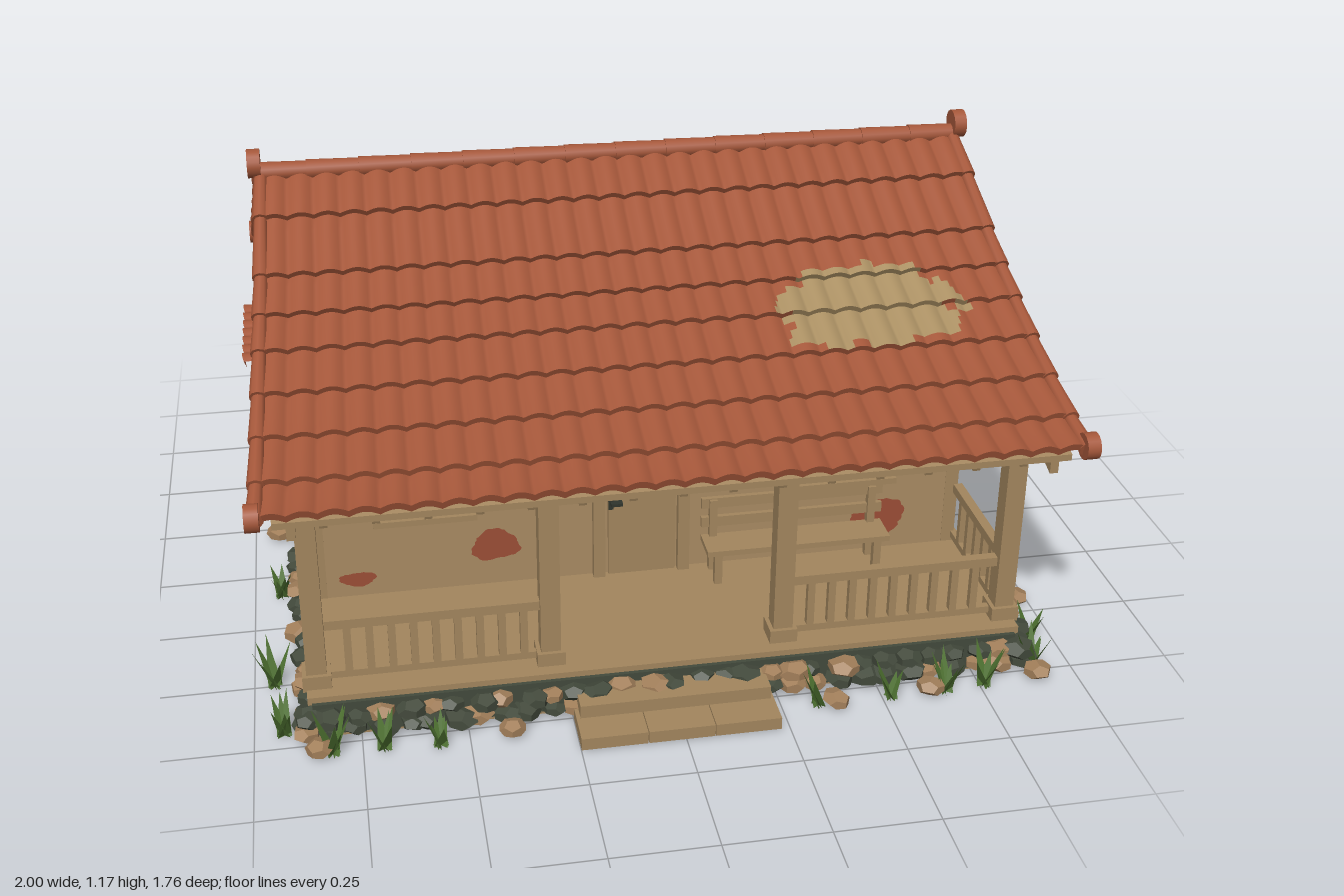
import * as THREE from 'three';

const mat = (name, color, side = THREE.FrontSide) => {
  const m = new THREE.MeshStandardMaterial({ color, side });
  m.name = name;
  return m;
};

export function createModel() {
  const root = new THREE.Group();
  root.name = 'cottage';
  const D = THREE.DoubleSide;
  const M = {
    wall: mat('plaster', 0xa98b63), timber: mat('timber', 0xa3865e),
    tile: mat('roofTile', 0xa5573a, D), brick: mat('exposedBrick', 0x9c4e36),
    batten: mat('exposedBatten', 0xab9063, D), darkStone: mat('darkStone', 0x434a3c),
    tanStone: mat('tanStone', 0xa27f5a), grass: mat('grass', 0x4d7030, D),
    shutter: mat('shutter', 0x8a7350), dark: mat('darkMetal', 0x30352d),
  };
  let seed = 7;
  const rnd = () => (seed = (seed * 16807) % 2147483647) / 2147483647;
  const add = (name, geo, material, parent = root) => {
    const m = new THREE.Mesh(geo, material);
    m.name = name;
    parent.add(m);
    return m;
  };
  const group = (name, x = 0, y = 0, z = 0, ry = 0, parent = root) => {
    const g = new THREE.Group();
    g.name = name;
    g.position.set(x, y, z);
    g.rotation.y = ry;
    parent.add(g);
    return g;
  };
  // box from its min and max corners
  const box = (name, x0, x1, y0, y1, z0, z1, m = M.timber, parent = root) => {
    const b = add(name, new THREE.BoxGeometry(x1 - x0, y1 - y0, z1 - z0), m, parent);
    b.position.set((x0 + x1) / 2, (y0 + y1) / 2, (z0 + z1) / 2);
    return b;
  };
  // square bar between two points
  const bar = (name, a, b, w, m = M.timber, parent = root) => {
    const A = new THREE.Vector3(...a), B = new THREE.Vector3(...b);
    const mesh = add(name, new THREE.BoxGeometry(w, w, A.distanceTo(B)), m, parent);
    mesh.position.copy(A).add(B).multiplyScalar(0.5);
    mesh.quaternion.setFromUnitVectors(new THREE.Vector3(0, 0, 1), B.sub(A).normalize());
    return mesh;
  };

  // roof slopes as (distance out from ridge, height)
  const RIDGE = -0.11;
  const curve = pts => new THREE.SplineCurve(pts.map(p => new THREE.Vector2(...p)));
  const slopes = [
    { name: 'frontRoof', s: 1, rows: 8, c: curve([[0, 1.105], [0.28, 0.938], [0.47, 0.828], [0.7, 0.722], [0.92, 0.645]]) },
    { name: 'backRoof', s: -1, rows: 7, c: curve([[0, 1.105], [0.27, 0.938], [0.48, 0.8], [0.74, 0.648]]) },
  ];
  const halfWidth = t => 0.895 + 0.05 * t;

  // rows of rolled tiles lapping over each other down a curve
  const tiles = (name, c, rows, cols, width, amp, parent, mask = () => false) => {
    const pos = [], idx = [[], []], S = cols * 8, J = 5;
    for (let r = 0; r < rows; r++) {
      const base = pos.length / 3;
      for (let j = 0; j <= J + 2; j++) {
        const k = Math.min(j, J) / J, t = (r + k) / rows;
        const p = c.getPoint(t), tan = c.getTangent(t);
        const lift = j > J + 1 ? -0.004 : 0.016 * k;
        for (let i = 0; i <= S; i++) {
          const u = i / S, wave = amp * Math.abs(Math.sin(u * cols * Math.PI)) + lift;
          pos.push((u * 2 - 1) * width(t), p.y + tan.x * wave, p.x - tan.y * wave);
        }
      }
      for (let j = 0; j < J + 2; j++) {
        if (j === J) continue;
        for (let i = 0; i < S; i++) {
          const a = base + j * (S + 1) + i, b = a + S + 1;
          const list = idx[mask(pos[a * 3], pos[a * 3 + 2]) ? 1 : 0];
          list.push(a, b, a + 1, a + 1, b, b + 1);
        }
      }
    }
    const g = new THREE.BufferGeometry();
    g.setAttribute('position', new THREE.Float32BufferAttribute(pos, 3));
    g.setIndex([...idx[0], ...idx[1]]);
    g.addGroup(0, idx[0].length, 0);
    g.addGroup(idx[0].length, idx[1].length, 1);
    g.computeVertexNormals();
    return add(name, g, [M.tile, M.batten], parent);
  };
  // slab following a slope, at offsets below it
  const slab = (name, c, top, bottom, x0, x1, parent) => {
    const p = c.getPoints(20);
    const s = new THREE.Shape([...p.map(q => new THREE.Vector2(q.x, q.y - top)), ...p.reverse().map(q => new THREE.Vector2(q.x, q.y - bottom))]);
    const g = new THREE.ExtrudeGeometry(s, { depth: x1 - x0, bevelEnabled: false });
    g.rotateY(-Math.PI / 2).translate(x1, 0, 0);
    add(name, g, M.timber, parent);
  };
  const disc = (name, x, y, z, r, parent) => {
    const d = add(name, new THREE.CylinderGeometry(r, r, 0.032, 16).rotateZ(Math.PI / 2), M.tile, parent);
    d.position.set(x, y, z);
  };

  for (const { name, s, rows, c } of slopes) {
    const g = group(name, 0, 0, RIDGE, s > 0 ? 0 : Math.PI);
    const mid = s > 0 ? 0.47 : 0.31;
    tiles('tiles', c, rows, 28, halfWidth, 0.013, g, (x, out) => {
      const dx = (x * s - 0.54) / 0.235, dz = (out - mid) / 0.115;
      return dx * dx + dz * dz < 0.95 + 0.3 * Math.sin(x * 41) * Math.sin(out * 55 + x * 9);
    });
    slab('soffit', c, 0.004, 0.02, -0.91, 0.91, g);
    for (const sx of [-1, 1]) {
      slab('bargeBoard', c, 0.02, 0.05, sx * 0.87 - 0.01, sx * 0.87 + 0.01, g);
      // tapered verge tiles
      for (let r = 0; r < rows; r++) {
        const a = c.getPoint(r / rows), b = c.getPoint((r + 1) / rows);
        const A = new THREE.Vector3(sx * halfWidth(r / rows), a.y + 0.006, a.x);
        const B = new THREE.Vector3(sx * halfWidth((r + 1) / rows), b.y + 0.01, b.x);
        const v = add('vergeTile', new THREE.CylinderGeometry(0.021, 0.016, A.distanceTo(B) + 0.01, 10), M.tile, g);
        v.position.copy(A).add(B).multiplyScalar(0.5);
        v.quaternion.setFromUnitVectors(new THREE.Vector3(0, 1, 0), B.sub(A).normalize());
      }
      const e = c.getPoint(1);
      disc('eaveDisc', sx * 0.95, e.y + 0.015, e.x, 0.032, g);
    }
    // rafter tails under the eave
    const e0 = c.getPoint(0.78), e1 = c.getPoint(0.98);
    for (let i = 0; i < 15; i++) {
      const x = -0.8 + i * 1.6 / 14;
      bar('rafterTail', [x, e0.y - 0.028, e0.x], [x, e1.y - 0.028, e1.x], 0.018, M.timber, g);
    }
  }
  for (let i = 0; i < 14; i++) {
    const r = add('ridgeTile', new THREE.CylinderGeometry(0.026, 0.023, 0.135, 12).rotateZ(Math.PI / 2), M.tile);
    r.position.set(-0.845 + i * 0.13, 1.111, RIDGE);
  }
  for (const sx of [-1, 1]) disc('ridgeDisc', sx * 0.91, 1.135, RIDGE, 0.036, root);

  // house body under the roof line
  const outline = [new THREE.Vector2(0.29, 0.1)];
  const under = (i, from) => slopes[i].c.getPoints(30).filter(p => p.x < from).map(p => new THREE.Vector2(RIDGE + slopes[i].s * p.x, p.y - 0.022));
  const f = under(0, 0.4), b = under(1, 0.59);
  outline.push(new THREE.Vector2(0.29, f.at(-1).y - 0.004), ...f.reverse(), ...b.slice(1), new THREE.Vector2(-0.7, b.at(-1).y - 0.005), new THREE.Vector2(-0.7, 0.1));
  add('houseBody', new THREE.ExtrudeGeometry(new THREE.Shape(outline), { depth: 1.66, bevelEnabled: false }).rotateY(-Math.PI / 2).translate(0.83, 0, 0), M.wall);

  // foundation, floor and steps
  box('foundation', -0.86, 0.86, 0.004, 0.09, -0.72, 0.72, M.darkStone);
  box('floor', -0.87, 0.87, 0.085, 0.105, -0.72, 0.71);
  box('groundBeam', -0.86, 0.86, 0, 0.006, -0.2, 0);
  box('groundBeam', -0.86, 0.86, 0, 0.006, 0.64, 0.72);
  for (let i = 0; i < 3; i++) box('lowerStep', -0.25 + i * 0.16, -0.092 + i * 0.16, 0.004, 0.035, 0.76, 0.88);
  box('upperStep', -0.24, 0.22, 0.035, 0.068, 0.71, 0.8);

  // stones, loose rocks and grass
  const stone = (x, y, z, r, m, parent) => {
    const st = add('stone', new THREE.DodecahedronGeometry(r), m, parent);
    st.position.set(x, y, z);
    st.scale.set(0.9 + rnd() * 0.4, 0.65, 0.9 + rnd() * 0.4);
    st.rotation.y = rnd() * 6;
  };
  const stones = group('stoneFooting');
  const edge = (n, fn) => { for (let i = 0; i < n; i++) fn(i / (n - 1)); };
  const row = (x, z) => [0.026, 0.062].forEach(y =>
    stone(x + (rnd() - 0.5) * 0.03, y, z + (rnd() - 0.5) * 0.02, 0.027 + rnd() * 0.013, rnd() < 0.7 ? M.darkStone : M.tanStone, stones));
  for (const s of [-1, 1]) {
    edge(31, t => row(-0.87 + 1.74 * t, s * 0.73));
    edge(25, t => row(s * 0.87, -0.71 + 1.42 * t));
  }
  const rocks = group('looseRocks');
  [[0.965, 0.46], [0.95, -0.43], [0.9, 0.78], [0.62, 0.8], [0.38, 0.81], [-0.85, 0.79], [-0.4, 0.79], [-0.93, -0.2], [0.3, -0.79]]
    .forEach(([x, z]) => stone(x, 0.022, z, 0.032, M.tanStone, rocks));
  const tuft = (x, z, h) => {
    const p = [];
    for (let i = 0; i < 7; i++) {
      const a = rnd() * 6.28, l = h * (0.6 + rnd() * 0.4), w = 0.018, c = Math.cos(a), s = Math.sin(a);
      p.push(-s * w, 0, c * w, s * w, 0, -c * w, c * l * 0.45, l, s * l * 0.45);
    }
    const g = new THREE.BufferGeometry();
    g.setAttribute('position', new THREE.Float32BufferAttribute(p, 3));
    g.computeVertexNormals();
    add('grassTuft', g, M.grass).position.set(x, 0, z);
  };
  [[-0.95, 0.5], [-0.93, 0.7], [-0.7, 0.79], [-0.57, 0.8], [-0.82, 0.79], [0.34, 0.8], [0.52, 0.8], [0.66, 0.8], [0.76, 0.79], [0.9, 0.74], [0.94, 0.62],
    [0.93, 0.3], [0.93, -0.1], [0.92, -0.62], [0.9, -0.74], [0.7, -0.79], [0.45, -0.79], [0.1, -0.79], [-0.3, -0.79], [-0.6, -0.79], [-0.88, -0.77], [-0.94, -0.45], [-0.93, 0.1]]
    .forEach(([x, z]) => tuft(x, z, 0.08 + rnd() * 0.05));

  // porch posts, beams, braces and railings
  for (const x of [-0.845, -0.29, 0.28, 0.845]) {
    box('porchPost', x - 0.024, x + 0.024, 0.1, 0.62, 0.62, 0.668);
    box('postFoot', x - 0.034, x + 0.034, 0.1, 0.14, 0.61, 0.678);
    box('crossBeam', x - 0.02, x + 0.02, 0.605, 0.655, 0.29, 0.69);
    bar('wallBrace', [x, 0.505, 0.29], [x, 0.605, 0.37], 0.02);
    for (const s of [-1, 1]) if (Math.abs(x + s * 0.08) < 0.86) bar('postBrace', [x, 0.53, 0.645], [x + s * 0.08, 0.61, 0.645], 0.018);
  }
  box('eaveBeam', -0.87, 0.87, 0.605, 0.65, 0.625, 0.668);
  box('rolledBlind', 0.31, 0.81, 0.568, 0.592, 0.63, 0.65, M.shutter);
  const railing = (a, c2) => {
    const at = (t, y) => [a[0] + (c2[0] - a[0]) * t, y, a[1] + (c2[1] - a[1]) * t];
    bar('handRail', at(0, 0.265), at(1, 0.265), 0.024);
    bar('bottomRail', at(0, 0.125), at(1, 0.125), 0.018);
    const n = Math.round(Math.hypot(c2[0] - a[0], c2[1] - a[1]) / 0.052);
    for (let i = 1; i < n; i++) bar('baluster', at(i / n, 0.12), at(i / n, 0.26), 0.018);
  };
  for (const s of [-1, 1]) {
    railing([s * 0.82, 0.645], [s * 0.3, 0.645]);
    railing([s * 0.845, 0.62], [s * 0.845, 0.29]);
  }

  // bench and hanging lamp
  box('benchSeat', 0.15, 0.63, 0.19, 0.205, 0.31, 0.4);
  for (const y of [0.23, 0.285]) box('benchBack', 0.15, 0.63, y, y + 0.028, 0.305, 0.317);
  for (const x of [0.17, 0.59]) for (const z of [0.305, 0.375]) box('benchLeg', x, x + 0.02, 0.1, z < 0.35 ? 0.31 : 0.19, z, z + 0.02);
  bar('lampCord', [-0.01, 0.61, 0.43], [-0.01, 0.79, 0.43], 0.006, M.dark);
  add('lampShade', new THREE.CylinderGeometry(0.012, 0.045, 0.025, 16), M.dark).position.set(-0.01, 0.605, 0.43);
  add('lampBulb', new THREE.SphereGeometry(0.016, 12, 8), M.batten).position.set(-0.01, 0.588, 0.43);

  // wall faces, each with local x across and z outward
  const front = group('frontWall', 0, 0, 0.29), back = group('backWall', 0, 0, -0.7, Math.PI);
  const right = group('sideWall', 0.83, 0, 0, Math.PI / 2), left = group('sideWall', -0.83, 0, 0, -Math.PI / 2);
  const shutters = (g, x, glazed) => {
    const w = group('window', x, 0, 0, 0, g);
    box('windowBack', -0.11, 0.11, 0.33, 0.55, 0, 0.004, M.dark, w);
    box('windowSill', -0.13, 0.13, 0.312, 0.328, 0, 0.03, M.timber, w);
    for (const s of [-1, 1]) {
      for (const dx of [0.009, 0.103]) box('shutterStile', s * dx - 0.007, s * dx + 0.007, 0.328, 0.553, 0, 0.018, M.shutter, w);
      for (const y of [0.328, 0.54]) box('shutterRail', s * 0.056 - 0.05, s * 0.056 + 0.05, y, y + 0.013, 0, 0.017, M.shutter, w);
      for (let i = 0; i < 9; i++) {
        const sl = add('slat', new THREE.BoxGeometry(0.088, 0.022, 0.004), glazed && i > 4 && i % 4 !== 3 ? M.darkStone : M.shutter, w);
        sl.position.set(s * 0.056, 0.352 + i * 0.0225, 0.009);
        sl.rotation.x = -0.35;
      }
    }
  };
  const patch = (g, x, y, rx, ry) => {
    const pts = [];
    for (let i = 0; i < 44; i++) {
      const a = i / 44 * Math.PI * 2, k = 0.86 + 0.1 * Math.sin(a * 3 + x * 9) + 0.12 * rnd();
      pts.push(new THREE.Vector2(Math.cos(a) * rx * k, Math.sin(a) * ry * k));
    }
    add('brickPatch', new THREE.ShapeGeometry(new THREE.Shape(pts)), M.brick, g).position.set(x, y, 0.004);
  };
  for (const x of [-0.555, 0.535]) { shutters(front, x, true); shutters(back, x, false); }
  [[-0.73, 0.155, 0.05, 0.022], [-0.38, 0.22, 0.065, 0.05], [0.24, 0.52, 0.017, 0.02], [0.63, 0.2, 0.075, 0.06]].forEach(p => patch(front, ...p));
  [[-0.62, 0.2, 0.06, 0.05], [0.3, 0.19, 0.07, 0.045], [0.74, 0.14, 0.035, 0.035]].forEach(p => patch(back, ...p));
  [[-0.04, 0.31, 0.105, 0.075], [0.48, 0.22, 0.075, 0.05], [-0.2, 0.16, 0.025, 0.027]].forEach(p => patch(right, ...p));
  [[-0.2, 0.31, 0.09, 0.07], [-0.58, 0.17, 0.05, 0.035], [0.12, 0.2, 0.06, 0.045]].forEach(p => patch(left, ...p));

  // door
  for (const x of [-0.13, 0.09]) box('doorJamb', x, x + 0.03, 0.1, 0.57, 0, 0.022, M.timber, front);
  box('doorLintel', -0.135, 0.125, 0.55, 0.578, 0, 0.026, M.timber, front);
  box('doorPanel', -0.09, 0.085, 0.105, 0.545, 0, 0.01, M.timber, front);
  box('doorHandle', -0.085, -0.055, 0.315, 0.323, 0.01, 0.03, M.dark, front);
  box('doorPlate', -0.09, -0.078, 0.3, 0.34, 0.01, 0.016, M.dark, front);

  // side walls: corner boards, truss, window and tiled awning
  for (const [g, k] of [[right, -1], [left, 1]]) {
    const X = z => k * z;
    for (const [z, top] of [[0.27, 0.79], [-0.68, 0.68]]) box('cornerBoard', X(z) - 0.021, X(z) + 0.021, 0.1, top, -0.02, 0.015, M.timber, g);
    box('cornerFoot', X(-0.685) - 0.028, X(-0.685) + 0.028, 0.1, 0.14, -0.02, 0.025, M.timber, g);
    box('tieBeam', Math.min(X(0.29), X(-0.55)), Math.max(X(0.29), X(-0.55)), 0.73, 0.78, 0, 0.022, M.timber, g);
    box('kingPost', X(-0.105) - 0.028, X(-0.105) + 0.028, 0.78, 1.04, 0, 0.018, M.timber, g);
    for (const s of [-1, 1]) {
      bar('innerRafter', [X(RIDGE + s * 0.02), 1.03, 0.005], [X(RIDGE + s * 0.4), 0.8, 0.005], 0.028, M.timber, g);
      bar('strut', [X(RIDGE + s * 0.03), 0.79, 0.004], [X(RIDGE + s * 0.19), 0.92, 0.004], 0.025, M.timber, g);
    }
    shutters(g, X(-0.173), false);
    const a = group('awning', X(-0.178), 0, 0, 0, g);
    tiles('awningTiles', curve([[0, 0.695], [0.07, 0.66], [0.14, 0.632]]), 3, 7, () => 0.177, 0.01, a);
    bar('awningBatten', [-0.17, 0.62, 0.12], [0.17, 0.62, 0.12], 0.014, M.timber, a);
    for (const x of [-0.14, 0.14]) {
      bar('awningArm', [x, 0.612, 0], [x, 0.612, 0.125], 0.02, M.shutter, a);
      bar('awningBrace', [x, 0.56, 0], [x, 0.61, 0.09], 0.014, M.shutter, a);
    }
  }
  return root;
}
